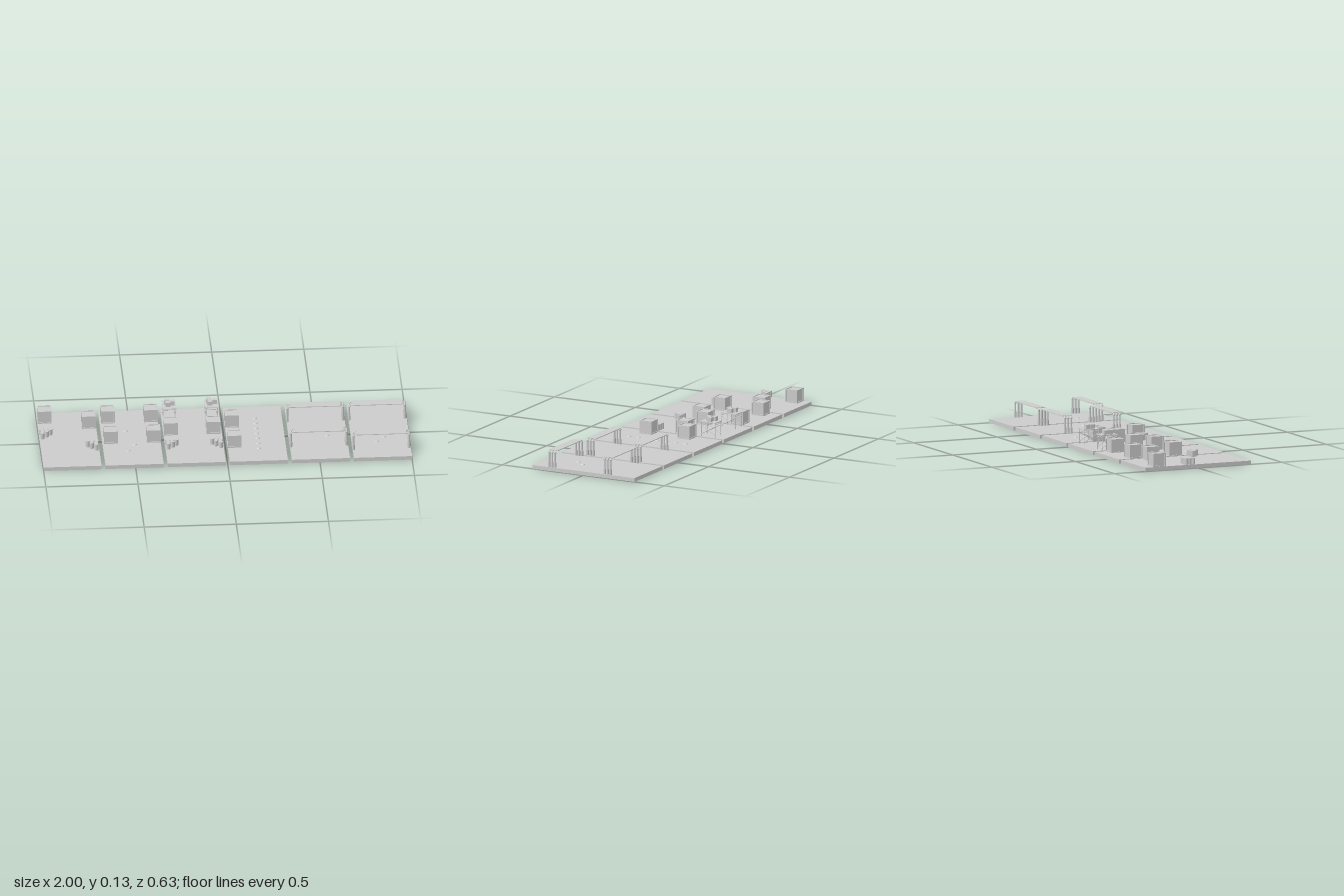
import * as THREE from 'three';

const mat = new THREE.MeshStandardMaterial({ color: 0xcccccc });
const FLOOR = 0.021;

function add(parent, name, geo, x = 0, y = 0, z = 0) {
  const m = new THREE.Mesh(geo, mat);
  m.name = name;
  m.position.set(x, y, z);
  parent.add(m);
  return m;
}
function group(parent, name, x, z) {
  const g = new THREE.Group();
  g.name = name;
  g.position.set(x, FLOOR, z);
  parent.add(g);
  return g;
}
const box = (w, h, d) => new THREE.BoxGeometry(w, h, d);
const cyl = (r, h, n = 16) => new THREE.CylinderGeometry(r, r, h, n);

// straight round bar between two points
function rod(parent, name, a, b, r) {
  const A = new THREE.Vector3(...a), d = new THREE.Vector3(...b).sub(A);
  const m = add(parent, name, cyl(r, d.length(), 8));
  m.position.copy(A).addScaledVector(d, 0.5);
  m.quaternion.setFromUnitVectors(new THREE.Vector3(0, 1, 0), d.normalize());
}

// crate: inset core with twelve edge beams
function crate(parent, x, z) {
  const g = group(parent, 'crate', x, z), s = 0.075, h = 0.073, b = 0.006;
  add(g, 'cratePanels', box(s - 0.008, h - 0.008, s - 0.008), 0, h / 2, 0);
  const e = (s - b) / 2;
  for (const i of [-1, 1]) for (const j of [-1, 1]) {
    add(g, 'cratePost', box(b, h, b), i * e, h / 2, j * e);
    const y = h / 2 + j * (h - b) / 2;
    add(g, 'crateSideBeam', box(b, b, s - 2 * b), i * e, y, 0);
    add(g, 'crateCrossBeam', box(s - 2 * b, b, b), 0, y, i * e);
  }
}

// six drums in a triangle, mirrored by side
function drums(parent, x, z, side) {
  const g = group(parent, 'drumCluster', x, z);
  const spots = [[0, 0], [0.024, 0], [0.048, 0], [0.005, 0.021], [0.028, 0.021], [0.003, 0.042]];
  for (const [dx, dz] of spots) {
    add(g, 'drum', cyl(0.0115, 0.034), side * dx, 0.017, dz);
  }
}

// folding table carrying three small boxes
function table(parent, x, z) {
  const g = group(parent, 'table', x, z), top = 0.08;
  add(g, 'tableTop', box(0.073, 0.004, 0.097), 0, top + 0.001, 0);
  for (const i of [-1, 1]) {
    const px = i * 0.031;
    for (const j of [-1, 1]) {
      rod(g, 'tableLeg', [px, 0, j * 0.042], [px, top, j * 0.042], 0.002);
      rod(g, 'tableBrace', [px, 0.013, -j * 0.042], [px, 0.06, j * 0.042], 0.0018);
      add(g, 'tableJoint', new THREE.SphereGeometry(0.0035, 10, 8), px, 0.06, j * 0.042);
      add(g, 'tableJoint', new THREE.SphereGeometry(0.0035, 10, 8), px, 0.013, j * 0.042);
    }
    rod(g, 'tableRail', [-0.031, 0.07, i * 0.042], [0.031, 0.07, i * 0.042], 0.0018);
  }
  for (const [dx, dz] of [[-0.013, -0.015], [0.017, -0.003], [-0.008, 0.014]]) {
    add(g, 'smallBox', box(0.026, 0.024, 0.026), dx, top + 0.015, dz);
  }
}

// long bar held by three stepped posts at each end
function barrier(parent, x, z) {
  const g = group(parent, 'barrier', x, z);
  add(g, 'barrierTop', box(0.272, 0.004, 0.054), 0, 0.091, 0);
  for (const i of [-1, 1]) for (const j of [-1, 0, 1]) {
    const px = i * 0.151, pz = j * 0.018;
    add(g, 'postSleeve', cyl(0.0075, 0.03, 12), px, 0.015, pz);
    add(g, 'postTube', cyl(0.0052, 0.052, 12), px, 0.056, pz);
    add(g, 'postBall', new THREE.SphereGeometry(0.0065, 12, 8), px, 0.081, pz);
    const bend = new THREE.QuadraticBezierCurve3(
      new THREE.Vector3(px, 0.08, pz),
      new THREE.Vector3(px - i * 0.001, 0.09, pz),
      new THREE.Vector3(i * 0.132, 0.0905, pz));
    add(g, 'postElbow', new THREE.TubeGeometry(bend, 6, 0.003, 8));
  }
}

export function createModel() {
  const model = new THREE.Group();
  model.name = 'floorTiles';

  // six floor slabs in a row
  for (let i = 0; i < 6; i++) {
    add(model, 'floorSlab', box(0.315, FLOOR, 0.63), -0.8425 + i * 0.337, FLOOR / 2, 0);
  }

  for (const [x, z] of [
    [-0.96, -0.23], [-0.725, -0.157], [-0.618, -0.21], [-0.385, -0.21], [-0.618, 0.027],
    [-0.385, 0.027], [-0.286, -0.05], [-0.056, -0.05], [0.048, -0.118], [0.048, 0.117],
  ]) crate(model, x, z);

  drums(model, -0.987, -0.065, 1);
  drums(model, -0.697, 0.085, -1);
  drums(model, -0.314, 0.1, 1);
  drums(model, -0.023, 0.1, -1);

  for (const x of [-0.284, -0.055]) table(model, x, -0.211);

  for (const [x, z] of [[0.503, -0.145], [0.839, -0.145], [0.503, 0.145], [0.839, 0.197]]) {
    barrier(model, x, z);
  }

  // low floor studs
  const studs = [[-0.53, 0.15], [-0.49, 0.08], [-0.53, -0.08], [0.557, 0.043], [0.82, 0.13], [0.86, 0.08]];
  for (let i = 0; i < 7; i++) studs.push([0.178, -0.18 + i * 0.058]);
  for (const [x, z] of studs) {
    add(model, 'floorStud', new THREE.CylinderGeometry(0.01, 0.013, 0.004, 16), x, FLOOR + 0.002, z);
  }
  return model;
}
